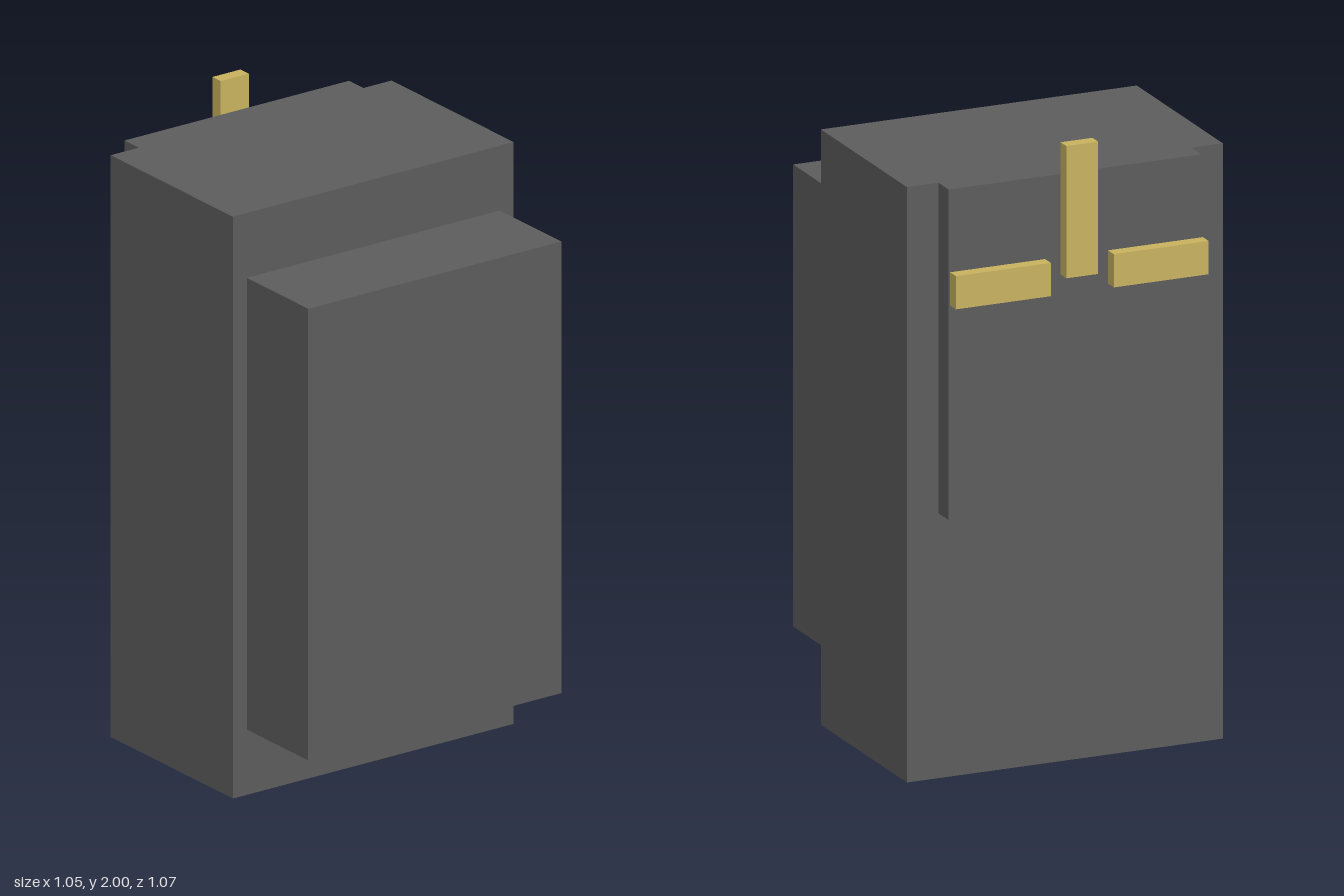
import * as THREE from 'three';

export function createModel() {
  const model = new THREE.Group();
  const darkGrey = new THREE.MeshStandardMaterial({ color: 0x5c5c5c });
  darkGrey.name = 'dark grey plastic';
  const brass = new THREE.MeshStandardMaterial({ color: 0xc8b25f });
  brass.name = 'brass';

  // Box given by its extents along each axis
  function addBox(name, material, [x0, x1], [y0, y1], [z0, z1]) {
    const mesh = new THREE.Mesh(new THREE.BoxGeometry(x1 - x0, y1 - y0, z1 - z0), material);
    mesh.position.set((x0 + x1) / 2, (y0 + y1) / 2, (z0 + z1) / 2);
    mesh.name = name;
    model.add(mesh);
  }

  // Housing: main block, raised front and shallow rear plate
  addBox('body', darkGrey, [-0.526, 0.526], [0, 1.895], [-0.41, 0.22]);
  addBox('frontBlock', darkGrey, [-0.474, 0.474], [0.213, 1.684], [0.22, 0.537]);
  addBox('backPlate', darkGrey, [-0.421, 0.421], [0.843, 1.895], [-0.484, -0.41]);

  // Three prongs floating just behind the rear plate
  const prongDepth = [-0.537, -0.495];
  addBox('centerProng', brass, [-0.053, 0.053], [1.579, 2], prongDepth);
  addBox('leftProng', brass, [0.105, 0.421], [1.529, 1.635], prongDepth);
  addBox('rightProng', brass, [-0.421, -0.105], [1.529, 1.635], prongDepth);

  return model;
}
